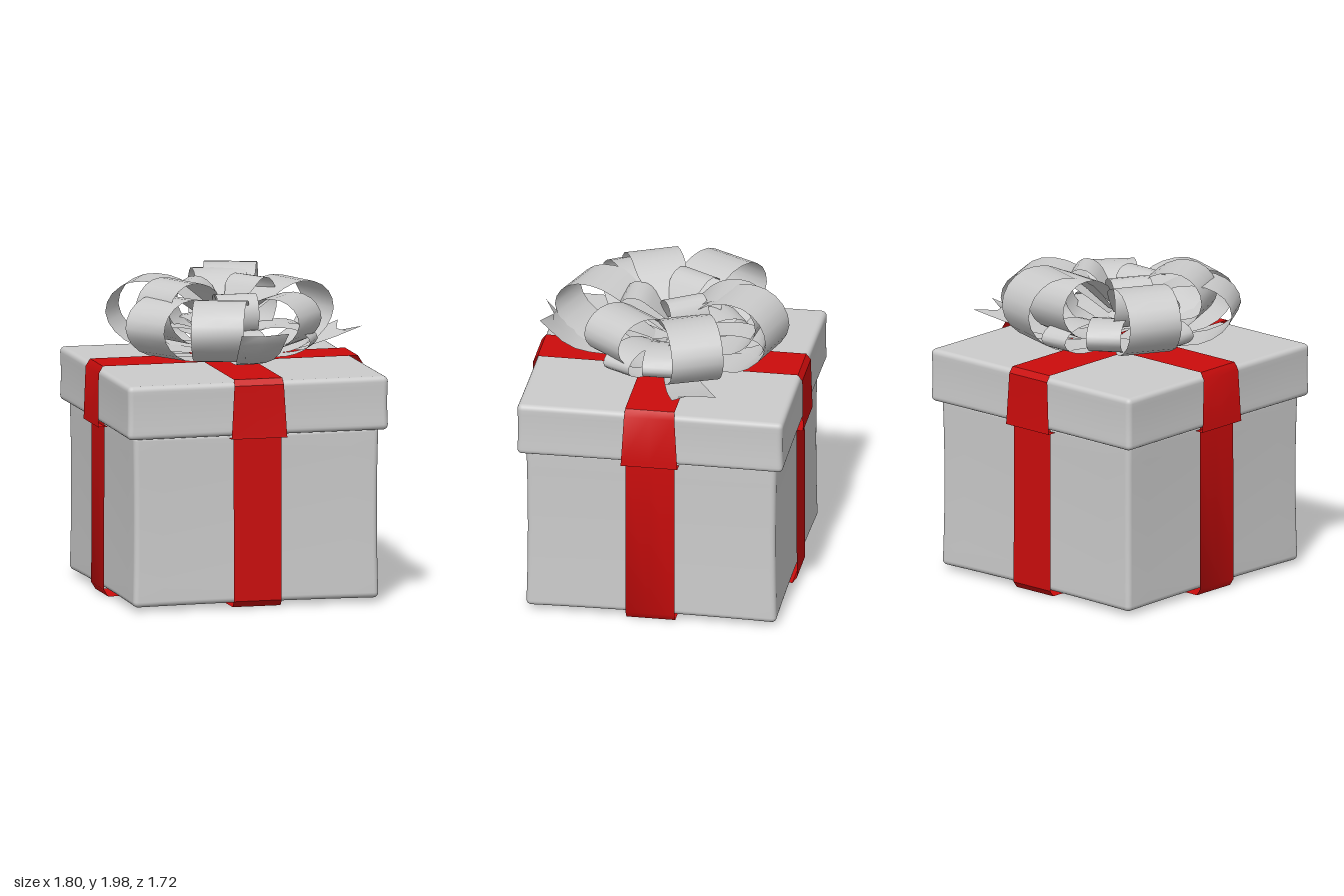
import * as THREE from 'three';
import { mergeVertices, toCreasedNormals } from 'three/addons/utils/BufferGeometryUtils.js';

const CX = -0.04; // the box sits slightly left of the origin
const paper = new THREE.MeshStandardMaterial({ color: 0xcccccc });
const bowMat = new THREE.MeshStandardMaterial({ color: 0xcccccc, side: THREE.DoubleSide });
const red = new THREE.MeshStandardMaterial({ color: 0xcc0c0c, side: THREE.DoubleSide });

// Rounded box whose faces are drawn in slightly towards their middles
function softBox(name, w, h, d, y0, radius, pinch) {
  const N = 16, R = 3;
  const raw = new THREE.BoxGeometry(2, 2, 2, N, N, N);
  raw.deleteAttribute('uv');
  raw.deleteAttribute('normal');
  const geo = mergeVertices(raw);
  const half = [w / 2, h / 2, d / 2];
  const spread = (u, s) => {
    const i = Math.round((1 - Math.abs(u)) * N / 2); // steps from the edge
    const inner = s - radius;
    const v = i < R ? s - radius * i / R : inner * (1 - (i - R) / (N / 2 - R));
    return Math.sign(u) * v;
  };
  const p = geo.attributes.position;
  for (let i = 0; i < p.count; i++) {
    const v = new THREE.Vector3(...[p.getX(i), p.getY(i), p.getZ(i)].map((u, k) => spread(u, half[k])));
    const core = new THREE.Vector3(...v.toArray().map((c, k) =>
      THREE.MathUtils.clamp(c, radius - half[k], half[k] - radius)));
    v.sub(core).setLength(radius).add(core);
    const [ax, ay, az] = v.toArray().map((c, k) => 1 - (c / half[k]) ** 2);
    p.setXYZ(i,
      v.x * (1 - pinch * (ay + az) / 2),
      v.y * (1 - pinch * (ax + az) / 2),
      v.z * (1 - pinch * (ax + ay) / 2));
  }
  geo.computeVertexNormals();
  const mesh = new THREE.Mesh(geo, paper);
  mesh.name = name;
  mesh.position.set(CX, y0 + h / 2, 0);
  return mesh;
}

// Flat strip along rows of [distance, height, half width]; notch cuts a V in the end
function strip(name, rows, angle, material, crease, notch = 0) {
  const pos = [], index = [];
  const c = Math.cos(angle), s = Math.sin(angle);
  rows.forEach(([r, y, hw], i) => {
    for (const side of [-1, 0, 1]) {
      const cut = i === rows.length - 1 && side === 0 ? notch : 0;
      pos.push((r - cut) * c - side * hw * s, y - cut * 0.3, (r - cut) * s + side * hw * c);
    }
    if (i) for (const k of [0, 1]) {
      const a = (i - 1) * 3 + k, b = a + 3;
      index.push(a, a + 1, b, b, a + 1, b + 1);
    }
  });
  let geo = new THREE.BufferGeometry();
  geo.setAttribute('position', new THREE.Float32BufferAttribute(pos, 3));
  geo.setIndex(index);
  geo.computeVertexNormals();
  if (crease) geo = toCreasedNormals(geo, crease);
  const mesh = new THREE.Mesh(geo, material);
  mesh.name = name;
  return mesh;
}

const smoothRows = (pts, n) =>
  new THREE.CatmullRomCurve3(pts.map(q => new THREE.Vector3(...q)), false, 'centripetal')
    .getPoints(n).map(v => v.toArray());

// Teardrop loop of ribbon pinched at the middle of the bow
function bowLoop(name, tipX, tipZ, base, top, hw) {
  const R = Math.hypot(tipX, tipZ), h = top - base;
  const profile = [
    [0.04, 0, 0.25], [0.4, 0.03, 0.7], [0.72, 0.1, 1], [0.92, 0.3, 1], [1, 0.56, 1],
    [0.94, 0.82, 1], [0.78, 0.98, 1], [0.55, 0.98, 1], [0.36, 0.84, 0.95], [0.06, 0.4, 0.25],
  ].map(([r, y, w]) => [r * R, base + y * h, w * hw]);
  return strip(name, smoothRows(profile, 18), Math.atan2(tipZ, tipX), bowMat);
}

export function createModel() {
  const model = new THREE.Group();
  model.name = 'giftBox';
  model.add(softBox('boxBody', 1.59, 1.09, 1.59, 0.03, 0.035, 0.02));
  model.add(softBox('lid', 1.69, 0.34, 1.69, 1.1, 0.035, 0.012));

  // Two crossing ribbons, one part around the body and one over the lid
  const ribbons = new THREE.Group();
  ribbons.name = 'ribbons';
  ribbons.position.x = CX;
  [0, Math.PI / 2].forEach((angle, i) => {
    const low = 0.006 + i * 0.006, high = 1.466 - i * 0.008;
    const bodyHalf = [[0.815, 1.11, 0.155], [0.818, 0.05, 0.155], [0.79, low, 0.155]];
    const lidHalf = [[0.8, 1.085, 0.18], [0.862, 1.085, 0.18], [0.86, 1.11, 0.178],
      [0.853, 1.42, 0.16], [0.825, high, 0.157]];
    const mirrored = half => [...half, ...half.map(([r, y, w]) => [-r, y, w]).reverse()];
    ribbons.add(strip('bodyRibbon', mirrored(bodyHalf), angle, red, 0.6));
    ribbons.add(strip('lidRibbon', mirrored(lidHalf), angle, red, 0.6));
  });
  model.add(ribbons);

  const bow = new THREE.Group();
  bow.name = 'bow';
  bow.position.x = -0.02;

  // tip x, tip z, base, top, half width
  const outer = [
    [-0.65, -0.36, 1.49, 1.95, 0.17], [0.07, -0.59, 1.56, 1.97, 0.165],
    [0.22, -0.71, 1.48, 1.99, 0.165], [0.66, -0.28, 1.48, 1.92, 0.165],
    [0.44, 0.37, 1.53, 1.88, 0.165], [-0.25, 0.7, 1.48, 1.9, 0.165],
    [-0.55, 0.25, 1.57, 1.99, 0.165], [-0.64, 0.4, 1.48, 1.9, 0.165],
  ];
  outer.forEach(a => bow.add(bowLoop('outerLoop', ...a)));

  const inner = [[-0.31, -0.18, 1.6, 1.95, 0.13], [0.27, -0.17, 1.6, 1.96, 0.13], [-0.01, 0.33, 1.6, 1.9, 0.13]];
  inner.forEach(a => bow.add(bowLoop('innerLoop', ...a)));

  const small = [[-0.56, -0.01, 1.48, 1.68, 0.1], [0.52, 0.0, 1.48, 1.68, 0.1],
    [-0.26, -0.42, 1.48, 1.7, 0.11], [0.49, 0.27, 1.48, 1.68, 0.1], [0.0, -0.6, 1.48, 1.68, 0.1],
    [0.03, 0.5, 1.48, 1.68, 0.1]];
  small.forEach(a => bow.add(bowLoop('lowLoop', ...a)));

  // Ribbon ends with a V cut
  bow.add(strip('frontTail', smoothRows([[0.04, 1.47, 0.04], [0.38, 1.475, 0.06],
    [0.62, 1.55, 0.13], [0.81, 1.73, 0.155]], 8), Math.PI / 2 - 0.04, bowMat, 0, 0.07));
  bow.add(strip('sideTail', smoothRows([[0.04, 1.47, 0.05], [0.35, 1.48, 0.1],
    [0.65, 1.53, 0.13], [0.92, 1.6, 0.14]], 8), Math.atan2(-0.29, 0.87), bowMat, 0, 0.15));
  model.add(bow);
  return model;
}
